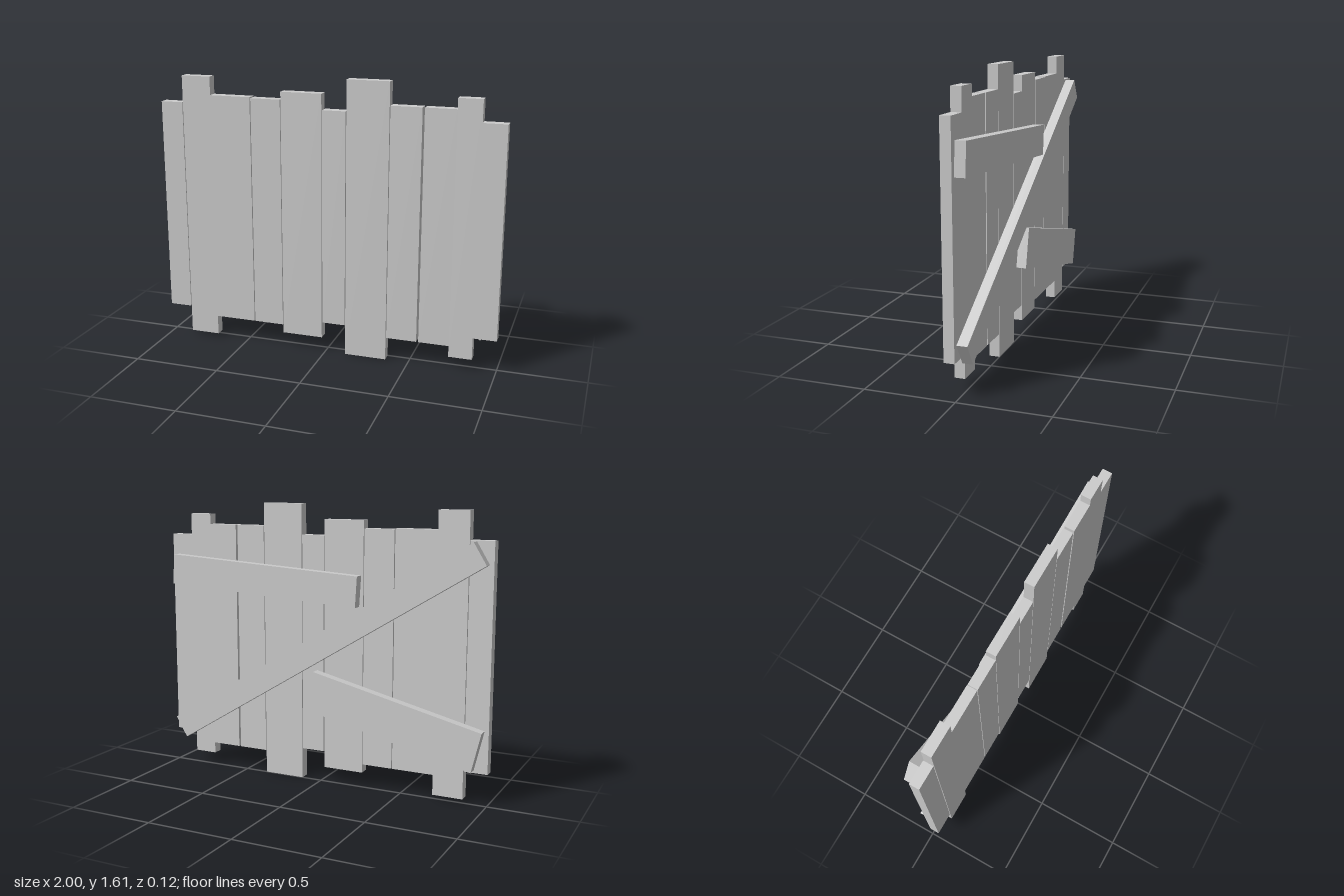
import * as THREE from 'three';

const THICK = 0.058;

// Upright planks: [left x, right x, bottom y, top y]
const PLANKS = [
  [-1.0, -0.868, 0.18, 1.435],
  [-0.864, -0.69, 0.02, 1.59],
  [-0.69, -0.448, 0.135, 1.485],
  [-0.443, -0.266, 0.135, 1.48],
  [-0.262, -0.022, 0.085, 1.525],
  [-0.018, 0.118, 0.18, 1.435],
  [0.122, 0.365, 0.0, 1.61],
  [0.369, 0.545, 0.135, 1.48],
  [0.557, 0.732, 0.135, 1.48],
  [0.732, 0.866, 0.07, 1.54],
  [0.866, 1.0, 0.2, 1.415],
];

// Braces on the back: centreline start, centreline end, width
const BRACES = [
  { name: 'upperBrace', from: [-0.243, 1.133], to: [0.964, 1.208], width: 0.176 },
  { name: 'diagonalBrace', from: [-0.94, 1.37], to: [0.937, 0.227], width: 0.14 },
  { name: 'lowerBrace', from: [-0.95, 0.308], to: [0.05, 0.548], width: 0.232 },
];

export function createModel() {
  const model = new THREE.Group();
  model.name = 'plankPanel';
  const material = new THREE.MeshStandardMaterial({ color: 0xcccccc, flatShading: true });

  const addBoard = (name, width, height, x, y, z, angle = 0) => {
    const board = new THREE.Mesh(new THREE.BoxGeometry(width, height, THICK), material);
    board.name = name;
    board.position.set(x, y, z);
    board.rotation.z = angle;
    model.add(board);
  };

  // Front layer of uneven planks
  PLANKS.forEach(([x0, x1, y0, y1], i) => {
    addBoard(`plank${i + 1}`, x1 - x0, y1 - y0, (x0 + x1) / 2, (y0 + y1) / 2, THICK / 2);
  });

  // Slanted braces across the back
  for (const { name, from, to, width } of BRACES) {
    const dx = to[0] - from[0];
    const dy = to[1] - from[1];
    addBoard(name, Math.hypot(dx, dy), width,
      (from[0] + to[0]) / 2, (from[1] + to[1]) / 2, -THICK / 2, Math.atan2(dy, dx));
  }

  return model;
}
